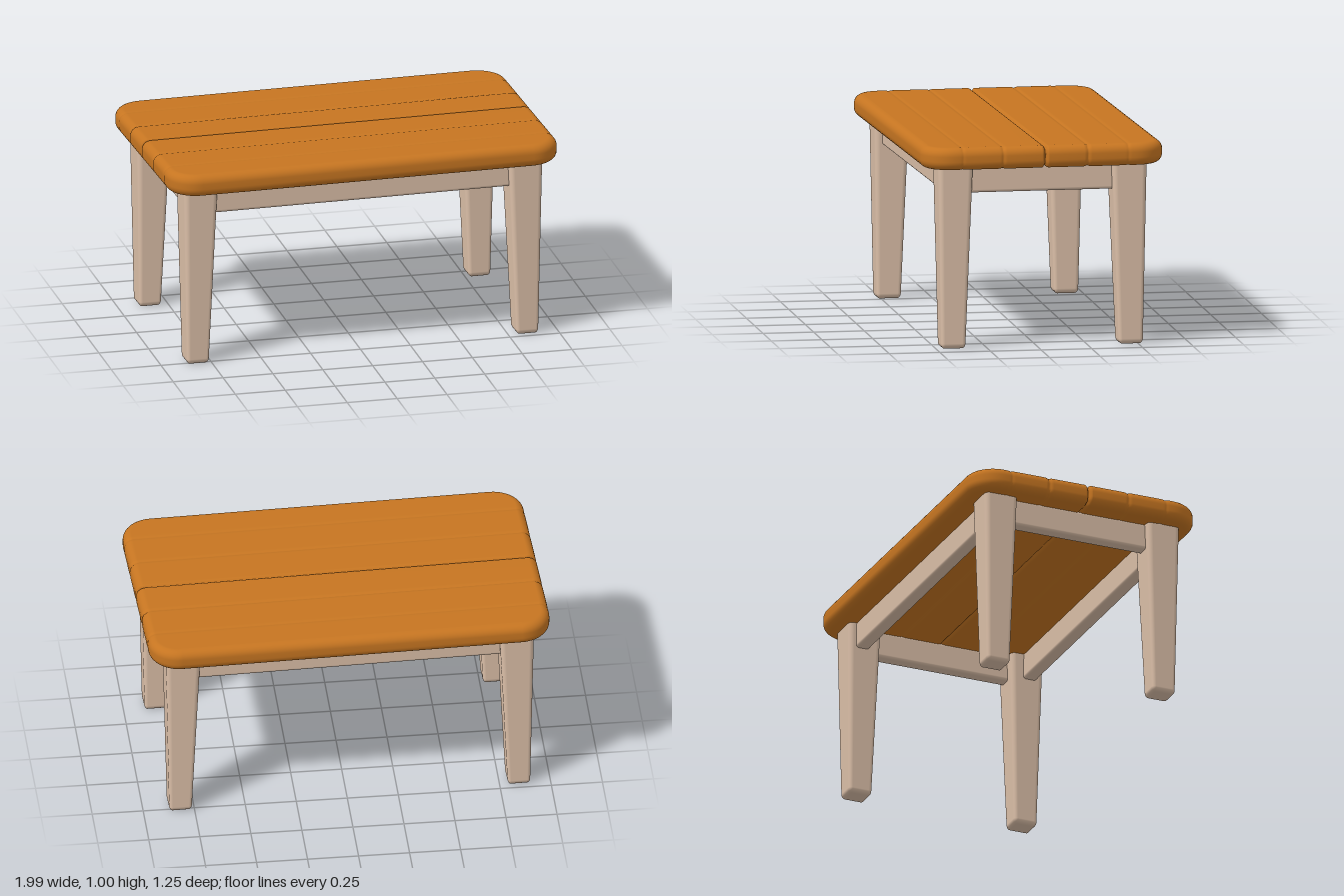
import * as THREE from 'three';
import { RoundedBoxGeometry } from 'three/addons/geometries/RoundedBoxGeometry.js';

const wood = new THREE.MeshStandardMaterial({ color: 0xc67521 });
wood.name = 'warm orange wood';
const paint = new THREE.MeshStandardMaterial({ color: 0xd9bda6 });
paint.name = 'pale beige paint';

const HALF_LENGTH = 0.985, HALF_DEPTH = 0.6, CORNER = 0.15;
const BOTTOM = 0.89, TOP = 1.0, BEVEL = 0.042;

// Plank joints: position across the depth, groove depth, notch at the ends, half width
const joints = [
  [-0.41, 0.003, 0.003, 0.02], [-0.21, 0.005, 0.008, 0.02], [0, 0.012, 0.025, 0.018],
  [0.21, 0.004, 0.006, 0.02], [0.41, 0.003, 0.003, 0.02],
];

// Stations of the right-hand outline from back to front, with outward normals
function outlineStations() {
  const list = [];
  const arc = (from, zc) => {
    for (let i = 0; i <= 10; i++) {
      const a = from + (Math.PI / 2) * (i / 10);
      const nx = Math.max(0, Math.cos(a)), nz = Math.sin(a);
      list.push({ x: HALF_LENGTH - CORNER + nx * CORNER, z: zc + nz * CORNER, nx, nz, drop: 0 });
    }
  };
  arc(-Math.PI / 2, -HALF_DEPTH + CORNER);
  for (const [z, drop, notch, width] of joints) {
    for (let i = -4; i <= 4; i++) {
      const t = i / 4, k = (1 - Math.abs(t)) ** 2;
      list.push({ x: HALF_LENGTH - notch * k, z: z + t * width, nx: 1, nz: 0, drop: drop * k });
    }
  }
  arc(0, HALF_DEPTH - CORNER);
  return list;
}

// Plank top: rounded-edge sections lofted from back to front
function tabletopGeometry() {
  const profile = []; // [inset, y, which way a groove moves the point]
  for (let i = 0; i <= 6; i++) {
    const a = (Math.PI / 2) * (i / 6);
    profile.push([BEVEL * (1 - Math.sin(a)), BOTTOM + BEVEL * (1 - Math.cos(a)), i < 4 ? 1 : 0]);
  }
  for (let i = 0; i <= 6; i++) {
    const a = (Math.PI / 2) * (i / 6);
    profile.push([BEVEL * (1 - Math.cos(a)), TOP - BEVEL * (1 - Math.sin(a)), i > 2 ? -1 : 0]);
  }
  const stations = outlineStations(), n = profile.length, ring = 2 * n;
  const pos = [], index = [];
  for (const s of stations) {
    const right = profile.map(([inset, y, dir]) =>
      [s.x - s.nx * inset, y + dir * s.drop, s.z - s.nz * inset]);
    for (const p of right) pos.push(...p);
    for (const [x, y, z] of right.reverse()) pos.push(-x, y, z);
  }
  for (let s = 0; s < stations.length - 1; s++) {
    for (let k = 0; k < ring; k++) {
      const a = s * ring + k, b = s * ring + (k + 1) % ring;
      index.push(a, b, a + ring, b, b + ring, a + ring);
    }
  }
  // Long edges at the back and front
  const last = (stations.length - 1) * ring;
  for (let k = 0; k < n - 1; k++) {
    const r0 = k, r1 = k + 1, l0 = ring - 1 - k, l1 = ring - 2 - k;
    index.push(r0, l0, r1, l0, l1, r1);
    index.push(last + r0, last + r1, last + l0, last + l0, last + r1, last + l1);
  }
  const g = new THREE.BufferGeometry();
  g.setAttribute('position', new THREE.Float32BufferAttribute(pos, 3));
  g.setIndex(index);
  g.computeVertexNormals();
  return g;
}

// Tapered leg: a rounded box narrowed towards the floor
function legGeometry(sx, sz) {
  const H = 0.91, W = 0.17;
  const g = new RoundedBoxGeometry(W, H, W, 4, 0.025);
  const p = g.attributes.position, mix = THREE.MathUtils.lerp;
  for (let i = 0; i < p.count; i++) {
    const t = p.getY(i) / H + 0.5;
    const u = p.getX(i) / W, v = p.getZ(i) / W;
    p.setXYZ(i,
      sx * mix(0.832, 0.82, t) + u * mix(0.11, 0.17, t),
      t * H,
      sz * mix(0.44, 0.431, t) + v * mix(0.12, 0.173, t));
  }
  return g;
}

export function createModel() {
  const table = new THREE.Group();
  table.name = 'table';
  const add = (name, geometry, material) => {
    const mesh = new THREE.Mesh(geometry, material);
    mesh.name = name;
    table.add(mesh);
    return mesh;
  };

  add('tabletop', tabletopGeometry(), wood);

  for (const sx of [-1, 1]) {
    for (const sz of [-1, 1]) {
      add((sz > 0 ? 'front' : 'back') + (sx > 0 ? 'Left' : 'Right') + 'Leg', legGeometry(sx, sz), paint);
    }
  }

  // Rails joining the legs under the top
  for (const s of [-1, 1]) {
    add(s > 0 ? 'frontRail' : 'backRail', new RoundedBoxGeometry(1.6, 0.135, 0.07, 3, 0.015), paint)
      .position.set(0, 0.83, s * 0.445);
    add(s > 0 ? 'leftRail' : 'rightRail', new RoundedBoxGeometry(0.07, 0.135, 0.84, 3, 0.015), paint)
      .position.set(s * 0.83, 0.83, 0);
  }

  // The whole table stands slightly askew
  table.rotation.y = 0.028;
  const model = new THREE.Group();
  model.name = 'model';
  model.add(table);
  return model;
}
